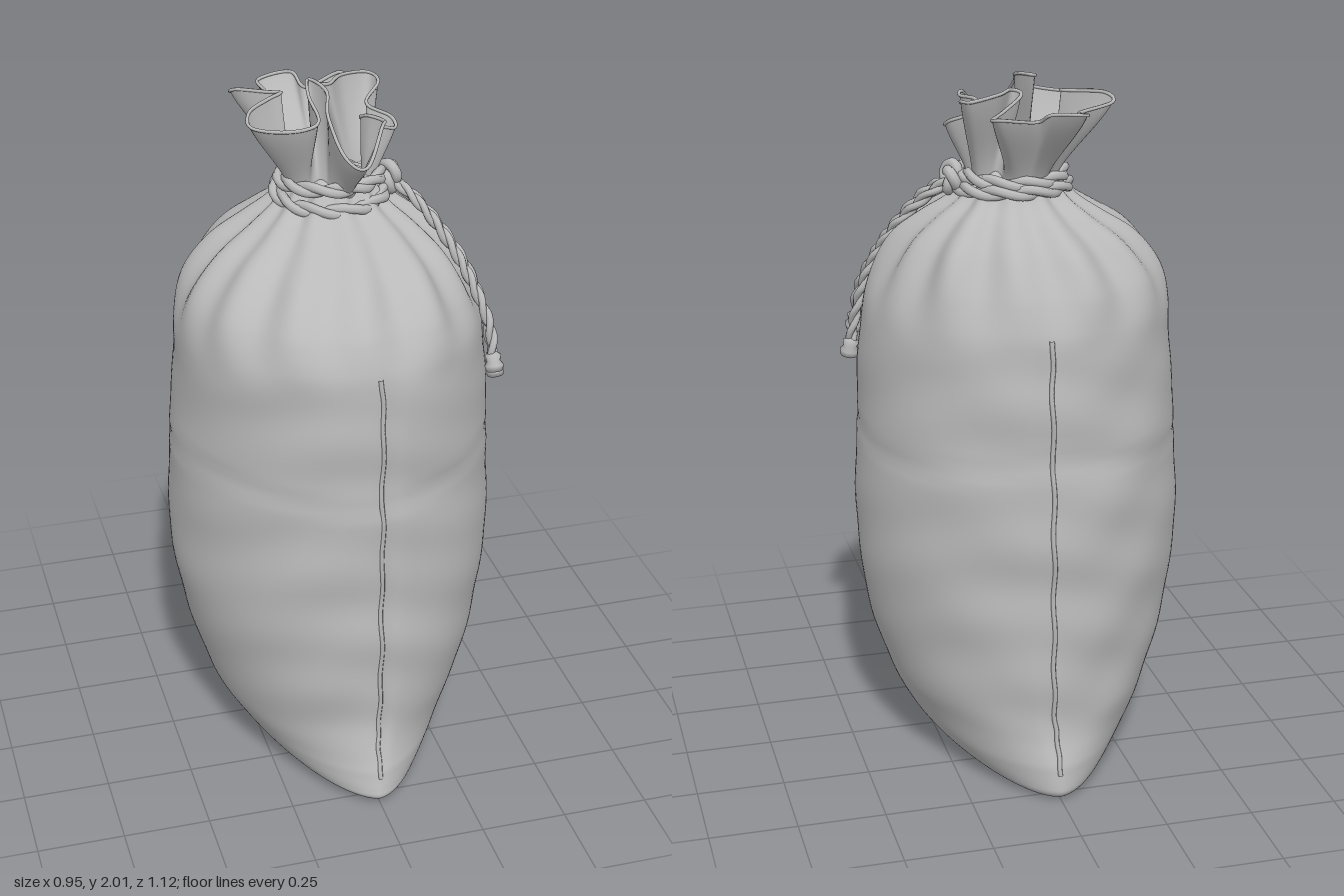
import * as THREE from 'three';

const cloth = new THREE.MeshStandardMaterial({ color: 0xb9b9b9, side: THREE.DoubleSide });
cloth.name = 'grey cloth';
const V = (x, y, z) => new THREE.Vector3(x, y, z);

// Body sections from floor to neck: y, xMin, xMax, zBack, zFront, pinch of the seam ends
const sections = [
  [0.0, -0.15, 0.15, -0.51, 0.51, 1.15],
  [0.01, -0.20, 0.20, -0.545, 0.545, 1.2],
  [0.04, -0.26, 0.255, -0.56, 0.56, 1.3],
  [0.10, -0.315, 0.31, -0.55, 0.54, 1.3],
  [0.17, -0.36, 0.35, -0.525, 0.51, 1.2],
  [0.25, -0.39, 0.385, -0.52, 0.50, 1.12],
  [0.40, -0.435, 0.43, -0.515, 0.50, 1.08],
  [0.60, -0.47, 0.46, -0.515, 0.50, 1.06],
  [0.80, -0.473, 0.465, -0.515, 0.495, 1.05],
  [1.00, -0.465, 0.455, -0.505, 0.49, 1.05],
  [1.20, -0.45, 0.445, -0.49, 0.485, 1.05],
  [1.35, -0.44, 0.425, -0.475, 0.475, 1.03],
  [1.45, -0.405, 0.385, -0.44, 0.43, 1],
  [1.55, -0.32, 0.325, -0.375, 0.33, 1],
  [1.62, -0.215, 0.25, -0.30, 0.20, 1],
  [1.67, -0.145, 0.185, -0.235, 0.10, 1],
  [1.73, -0.10, 0.14, -0.19, 0.05, 1],
];
const curveX = new THREE.CatmullRomCurve3(sections.map(s => V(s[0], s[1], s[2])));
const curveZ = new THREE.CatmullRomCurve3(sections.map(s => V(s[3], s[4], s[5])));
const smooth = THREE.MathUtils.smoothstep;

// Point on the sack: t runs up the body, a runs round it
function bodyPoint(t, a) {
  const X = curveX.getPoint(t), Z = curveZ.getPoint(t);
  const y = Math.max(0, X.x), c = Math.cos(a), s = Math.sin(a);
  // gathered pleats toward the neck
  const pleat = 0.06 * smooth(y, 1.3, 1.6);
  let k = 1 + pleat * (Math.sin(13 * a + 0.8 * Math.sin(2 * a)) + 0.4 * Math.sin(7 * a + 1));
  // slack horizontal creases and soft dents
  const w = smooth(y, 0.02, 0.25) * (1 - smooth(y, 1.2, 1.45));
  k += w * (0.4 + 0.6 * s * s) * (0.007 * Math.sin(17 * y + 2.2 * Math.sin(3 * a) + a)
    + 0.006 * Math.sin(31 * y + 3 * Math.sin(2 * a + 1))
    + 0.004 * Math.sin(5 * a + 6 * y));
  k -= 0.01 * Math.exp(-(((y - 0.985 - 0.02 * Math.sin(3 * a)) / 0.018) ** 2));
  // cloth tucked in beside each seam
  k -= 0.014 * w * Math.exp(-(((c - 0.11) / 0.06) ** 2));
  const hx = (X.z - X.y) / 2, hz = (Z.y - Z.x) / 2;
  return V((X.y + X.z) / 2 + k * hx * Math.sign(c) * Math.abs(c) ** Z.z, y, (Z.x + Z.y) / 2 + k * hz * s);
}

// Closed-ring surface from rows of points, wound to face outwards
function loft(rows) {
  const n = rows[0].length, pos = [], idx = [];
  rows.forEach(r => r.forEach(p => pos.push(p.x, p.y, p.z)));
  for (let j = 0; j < rows.length - 1; j++) for (let i = 0; i < n; i++) {
    const a = j * n + i, b = j * n + (i + 1) % n;
    idx.push(a, a + n, b, b, a + n, b + n);
  }
  const g = new THREE.BufferGeometry();
  g.setAttribute('position', new THREE.Float32BufferAttribute(pos, 3));
  g.setIndex(idx);
  g.computeVertexNormals();
  return g;
}

function add(parent, name, geometry) {
  const m = new THREE.Mesh(geometry, cloth);
  m.name = name;
  parent.add(m);
  return m;
}

// Two strands twisted round a path
function rope(parent, name, path, radius, twists, closed) {
  const n = Math.round(twists * 16), frames = path.computeFrenetFrames(n, closed);
  for (let k = 0; k < 2; k++) {
    const pts = [];
    for (let i = 0; i < (closed ? n : n + 1); i++) {
      const a = i / n * twists * Math.PI * 2 + k * Math.PI;
      pts.push(path.getPointAt(i / n)
        .addScaledVector(frames.normals[i], Math.cos(a) * radius * 0.5)
        .addScaledVector(frames.binormals[i], Math.sin(a) * radius * 0.5));
    }
    add(parent, name, new THREE.TubeGeometry(new THREE.CatmullRomCurve3(pts, closed), n * 2, radius * 0.75, 7, closed));
  }
}

export function createModel() {
  const sack = new THREE.Group();
  sack.name = 'sack';

  // Body
  const N = 160, M = 120, rows = [];
  for (let j = 0; j <= M; j++) {
    const row = [];
    for (let i = 0; i < N; i++) row.push(bodyPoint(j / M, -i / N * Math.PI * 2));
    rows.push(row);
  }
  add(sack, 'body', loft(rows));

  // Flat base and the closed throat inside the collar
  const cap = (row, c) => loft([row, row.map(() => c)]);
  add(sack, 'base', cap(rows[0].slice().reverse(), V(0, 0, 0)));
  add(sack, 'throat', cap(rows[M], V(0.02, 1.78, -0.07)));

  // Stitched seams down front and back
  for (const side of [1, -1]) {
    const pts = [];
    for (let i = 0; i <= 40; i++)
      pts.push(bodyPoint(0.17 + i / 40 * 0.52, side * (Math.PI / 2 - 0.05) + 0.006 * Math.sin(i * 1.3)));
    add(sack, side > 0 ? 'frontSeam' : 'backSeam',
      new THREE.TubeGeometry(new THREE.CatmullRomCurve3(pts), 120, 0.007, 6));
  }

  // Ruffled collar, its rim folded in toward the middle: x, height, z
  const rim = new THREE.CatmullRomCurve3([
    [-0.12, 1.93, -0.33], [-0.02, 1.94, -0.345], [0.01, 1.91, -0.29], [0.12, 1.93, -0.33],
    [0.13, 1.92, -0.28], [0.08, 1.93, -0.22], [0.02, 1.96, -0.17], [0.04, 1.97, -0.14], [0.09, 1.97, -0.20],
    [0.175, 1.96, -0.23], [0.19, 1.95, -0.17], [0.14, 1.91, -0.12], [0.20, 1.88, -0.08], [0.20, 1.86, -0.04],
    [0.14, 1.88, -0.03], [0.10, 1.9, -0.04], [0.11, 1.92, 0.00], [0.14, 1.92, 0.05], [0.12, 1.92, 0.10],
    [0.05, 1.85, 0.20], [0.00, 1.87, 0.16], [-0.02, 1.95, 0.06], [0.00, 1.99, -0.03], [-0.03, 2.0, -0.11],
    [-0.05, 1.98, -0.03], [-0.05, 1.94, 0.07], [-0.13, 1.92, 0.065], [-0.22, 1.92, 0.01],
    [-0.21, 1.94, -0.06], [-0.14, 1.95, -0.12], [-0.10, 1.96, -0.135], [-0.14, 1.96, -0.15],
    [-0.21, 1.96, -0.19], [-0.22, 1.94, -0.23], [-0.12, 1.92, -0.25],
  ].map(p => V(...p)), true, 'catmullrom', 0.5);
  const R = 200, collar = [];
  for (let j = 0; j <= 16; j++) {
    const s = j / 16, row = [];
    for (let i = 0; i < R; i++) {
      const p = rim.getPoint(i / R), a = i / R * Math.PI * 2 - 2.0;
      const reach = Math.hypot(p.x - 0.02, p.z + 0.07);
      const r = 0.095 + 0.025 * smooth(reach, 0.05, 0.22);
      const q = V(0.02 + r * Math.cos(a), 1.68, -0.07 + r * Math.sin(a));
      const f = smooth(s, 0.1, 1.1) * 0.55 + s * 0.46;
      row.push(V(q.x + (p.x - q.x) * f, q.y + (p.y - q.y) * s, q.z + (p.z - q.z) * f));
    }
    collar.push(row.reverse());
  }
  add(sack, 'collar', loft(collar));
  add(sack, 'collarHem', new THREE.TubeGeometry(new THREE.CatmullRomCurve3(collar[16], true), 300, 0.005, 6, true));

  // Cord wound twice round the neck
  const cord = new THREE.Group();
  cord.name = 'cord';
  sack.add(cord);
  [[1.73, 0.14, 0.008], [1.69, 0.153, -0.01]].forEach(([y, r, tilt]) => {
    const pts = [];
    for (let i = 0; i < 24; i++) {
      const a = i / 24 * Math.PI * 2;
      pts.push(V(0.02 + r * Math.cos(a), y + tilt * Math.sin(a), -0.07 + r * Math.sin(a)));
    }
    rope(cord, 'neckCord', new THREE.CatmullRomCurve3(pts, true), 0.018, 5, true);
  });

  // Knot
  const knot = add(cord, 'knot', new THREE.TorusKnotGeometry(0.026, 0.016, 60, 8, 2, 3));
  knot.position.set(0.19, 1.715, -0.055);
  knot.rotation.y = Math.PI / 2;

  // Hanging cord ends with tied tips
  const ends = [
    [[0.19, 1.71, -0.05], [0.24, 1.67, 0.01], [0.32, 1.56, 0.08], [0.375, 1.45, 0.14], [0.415, 1.33, 0.195], [0.42, 1.23, 0.225]],
    [[0.19, 1.71, -0.05], [0.25, 1.66, -0.02], [0.335, 1.55, 0.05], [0.40, 1.42, 0.10], [0.435, 1.28, 0.135], [0.45, 1.175, 0.15]],
  ];
  for (const e of ends) {
    const path = new THREE.CatmullRomCurve3(e.map(p => V(...p)));
    rope(cord, 'hangingCord', path, 0.014, 5, false);
    const tip = add(cord, 'cordTip', new THREE.LatheGeometry(
      [[0, -0.03], [0.024, -0.025], [0.028, -0.008], [0.019, 0.005], [0.024, 0.02], [0.012, 0.03], [0, 0.03]]
        .map(p => new THREE.Vector2(...p)), 12));
    tip.position.copy(path.getPoint(1));
    tip.quaternion.setFromUnitVectors(V(0, -1, 0), path.getTangent(1));
  }
  return sack;
}
